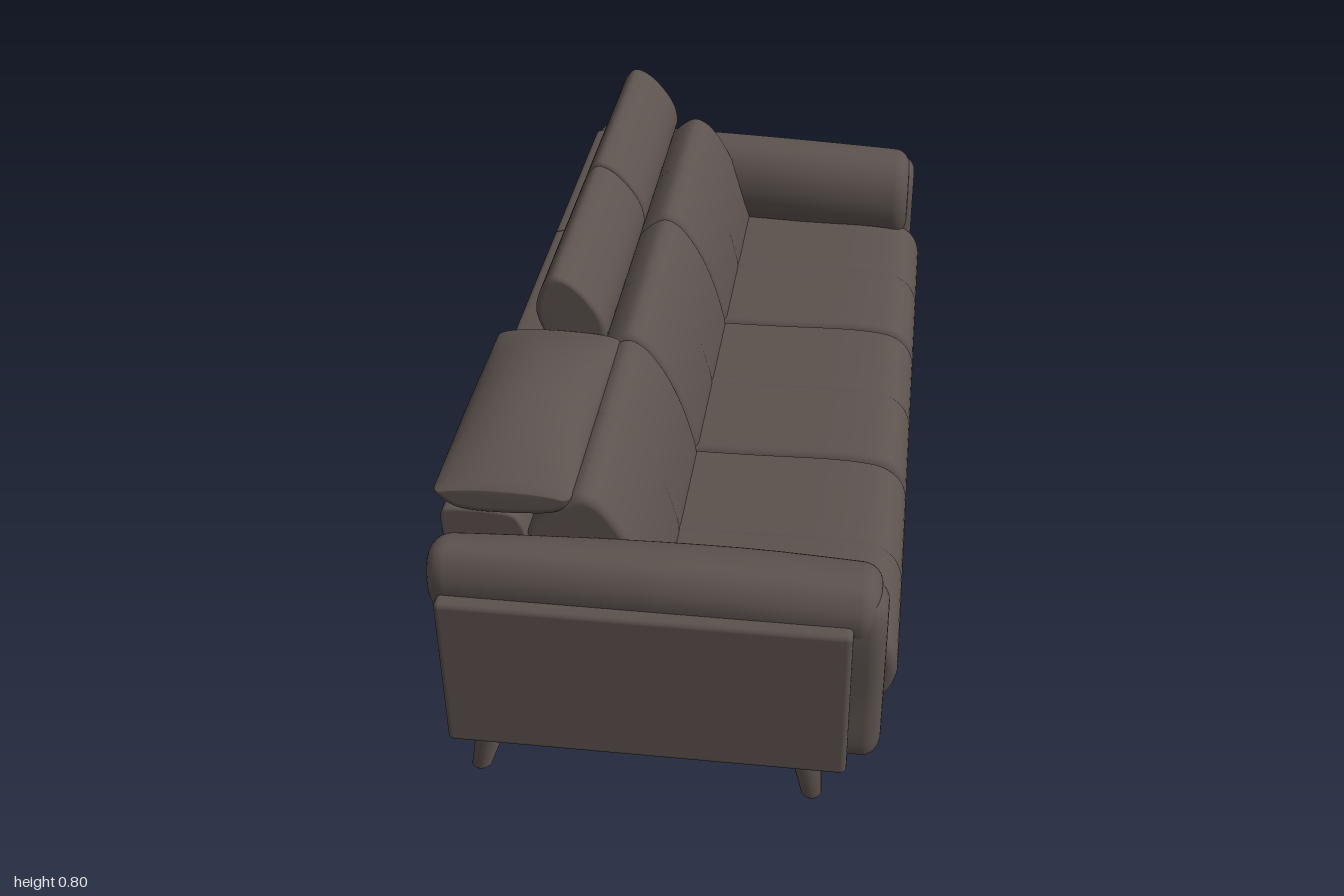
import * as THREE from 'three';
import { RoundedBoxGeometry } from 'three/addons/geometries/RoundedBoxGeometry.js';

const leather = new THREE.MeshStandardMaterial({ color: 0x5c524e });
leather.name = 'brown leather';

// Soft cushion: a smooth closed profile swept along x or z, with rounded ends,
// an optional stitched groove in the middle and an optional warp rule.
function cushion(profile, from, to, { axis = 'z', r = 0.03, groove = 0, warp } = {}) {
  const N = 64;
  const curve = new THREE.CatmullRomCurve3(profile.map(([a, b]) => new THREE.Vector3(a, b, 0)), true, 'centripetal');
  const ring = curve.getPoints(N).slice(0, N);
  const box = new THREE.Box3().setFromPoints(ring);
  const c = box.getCenter(new THREE.Vector3());
  const half = box.getSize(new THREE.Vector3()).multiplyScalar(0.5);

  // stations along the sweep: [position, inset]
  const stations = [];
  const steps = 6;
  for (let i = 0; i <= steps; i++) {
    const t = (i / steps) * Math.PI / 2;
    stations.push([from + r * (1 - Math.cos(t)), r * (1 - Math.sin(t))]);
  }
  const mid = (from + to) / 2;
  const span = (to - from) / 2 - r;
  for (const k of [-0.8, -0.6, -0.4, -0.2]) stations.push([mid + k * span, 0]);
  for (const [d, g] of [[-0.015, 0], [-0.005, 0.5], [0, 1], [0.005, 0.5], [0.015, 0]]) stations.push([mid + d, g * groove]);
  for (const k of [0.2, 0.4, 0.6, 0.8]) stations.push([mid + k * span, 0]);
  for (let i = steps; i >= 0; i--) {
    const t = (i / steps) * Math.PI / 2;
    stations.push([to - r * (1 - Math.cos(t)), r * (1 - Math.sin(t))]);
  }

  const pos = [];
  const index = [];
  const put = (a, b, l) => {
    const v = axis === 'z' ? new THREE.Vector3(a, b, l) : new THREE.Vector3(l, b, a);
    if (warp) warp(v);
    pos.push(v.x, v.y, v.z);
  };
  for (const [l, inset] of stations) {
    for (const p of ring) put(c.x + (p.x - c.x) * (1 - inset / half.x), c.y + (p.y - c.y) * (1 - inset / half.y), l);
  }
  const rows = stations.length;
  for (let s = 0; s < rows - 1; s++) {
    for (let i = 0; i < N; i++) {
      const a = s * N + i, b = s * N + (i + 1) % N;
      index.push(a, b, b + N, a, b + N, a + N);
    }
  }
  // end caps
  put(c.x, c.y, from);
  put(c.x, c.y, to);
  const last = (rows - 1) * N;
  for (let i = 0; i < N; i++) {
    const j = (i + 1) % N;
    index.push(rows * N, j, i, rows * N + 1, last + i, last + j);
  }
  // keep faces pointing outward for either winding
  let volume = 0;
  const A = new THREE.Vector3(), B = new THREE.Vector3(), C = new THREE.Vector3();
  for (let i = 0; i < index.length; i += 3) {
    A.fromArray(pos, index[i] * 3); B.fromArray(pos, index[i + 1] * 3); C.fromArray(pos, index[i + 2] * 3);
    volume += A.dot(B.cross(C));
  }
  if (volume < 0) index.reverse();
  const g = new THREE.BufferGeometry();
  g.setAttribute('position', new THREE.Float32BufferAttribute(pos, 3));
  g.setIndex(index);
  g.computeVertexNormals();
  return g;
}

export function createModel() {
  const sofa = new THREE.Group();
  sofa.name = 'sofa';
  const add = (name, geometry) => {
    const m = new THREE.Mesh(geometry, leather);
    m.name = name;
    sofa.add(m);
    return m;
  };
  const slab = (name, x0, x1, y0, y1, z0, z1, r) =>
    add(name, new RoundedBoxGeometry(x1 - x0, y1 - y0, z1 - z0, 3, r))
      .position.set((x0 + x1) / 2, (y0 + y1) / 2, (z0 + z1) / 2);

  slab('base', -0.435, 0.365, 0.135, 0.178, -0.99, 0.99, 0.01);

  // Three seats with their backs, from right to left
  const seat = [[-0.25, 0.17], [0.2, 0.17], [0.37, 0.175], [0.425, 0.2], [0.453, 0.265], [0.443, 0.33],
    [0.405, 0.368], [0.33, 0.382], [0.1, 0.38], [-0.1, 0.378], [-0.25, 0.375]];
  const back = [[-0.05, 0.3], [-0.022, 0.36], [-0.035, 0.44], [-0.068, 0.54], [-0.105, 0.61], [-0.14, 0.652],
    [-0.172, 0.665], [-0.205, 0.648], [-0.25, 0.6], [-0.29, 0.54], [-0.3, 0.3]];
  const frame = [[-0.434, 0.145], [-0.436, 0.15], [-0.45, 0.55], [-0.451, 0.59], [-0.445, 0.606], [-0.43, 0.611], [-0.32, 0.609],
    [-0.3, 0.6], [-0.285, 0.57], [-0.27, 0.5], [-0.27, 0.15], [-0.275, 0.145]];
  const raised = [[-0.332, 0.801], [-0.3, 0.79], [-0.26, 0.752], [-0.228, 0.7], [-0.222, 0.65], [-0.25, 0.6],
    [-0.31, 0.59], [-0.352, 0.64], [-0.376, 0.7], [-0.374, 0.735], [-0.352, 0.785]];
  const folded = [[-0.459, 0.655], [-0.44, 0.69], [-0.39, 0.722], [-0.33, 0.732], [-0.25, 0.718], [-0.205, 0.69],
    [-0.188, 0.66], [-0.21, 0.625], [-0.28, 0.612], [-0.41, 0.614], [-0.44, 0.63]];
  [[-0.85, -0.277], [-0.274, 0.274], [0.277, 0.85]].forEach(([z0, z1], i) => {
    add('seatCushion', cushion(seat, z0, z1, { r: 0.022, groove: 0.004 }));
    add('backCushion', cushion(back, z0, z1, { r: 0.022, groove: 0.003 }));
    add('backFrame', cushion(frame, z0, z1, { r: 0.006 }));
    if (i < 2) add('raisedHeadrest', cushion(raised, z0 + 0.006, z1, { r: 0.014 }));
  });
  // Folded headrest, crowned across its width
  add('foldedHeadrest', cushion(folded, 0.275, 0.86, {
    r: 0.02,
    warp: (v) => {
      const u = (v.z - 0.57) / 0.295;
      if (v.y > 0.655) v.y = 0.655 + (v.y - 0.655) * (1 - 0.8 * u * u);
    },
  }));

  // Arms, mirrored across z
  const pad = [[0.968, 0.165], [0.97, 0.3], [0.968, 0.49], [0.945, 0.53], [0.87, 0.53], [0.835, 0.49],
    [0.832, 0.3], [0.842, 0.165], [0.86, 0.155], [0.95, 0.155]];
  const roll = [[0.972, 0.5], [0.968, 0.545], [0.94, 0.58], [0.89, 0.588], [0.835, 0.572], [0.8, 0.53],
    [0.788, 0.47], [0.8, 0.41], [0.83, 0.37], [0.88, 0.38], [0.93, 0.43], [0.96, 0.465]];
  for (const s of [1, -1]) {
    const side = (p) => p.map(([z, y]) => [z * s, y]);
    slab('armPanel', -0.437, 0.365, 0.135, 0.497, s > 0 ? 0.962 : -1, s > 0 ? 1 : -0.962, 0.012);
    add('armPad', cushion(side(pad), -0.44, 0.428, { axis: 'x', r: 0.035 }));
    add('armRoll', cushion(side(roll), -0.459, 0.414, {
      axis: 'x',
      r: 0.04,
      warp: (v) => {
        // slopes down to the front and swells on the inner side
        const t = (v.x + 0.46) / 0.875;
        v.y -= 0.028 * t * t;
        const inner = THREE.MathUtils.clamp((0.97 - Math.abs(v.z)) / 0.18, 0, 1);
        const slim = 0.055 * Math.max(0, 1 - t / 0.75) ** 1.3;
        v.z += s * slim * inner;
      },
    }));
  }

  // Tapered legs, splayed by shearing: [top x, foot x, top z, foot z, foot y]
  const legs = [[0.27, 0.297, 0, 0, 0.05], [-0.345, -0.35, 0, 0, 0.05]];
  legs[0] = [0.275, 0.28, 0, 0, 0.05];
  for (const s of [1, -1]) {
    legs.push([0.275, 0.296, 0.912 * s, 0.926 * s, 0], [-0.357, -0.395, 0.912 * s, 0.926 * s, 0]);
  }
  for (const [tx, fx, tz, fz, y0] of legs) {
    const h = 0.145 - y0;
    const foot = 0.021 + y0 * 0.1;
    const g = new THREE.LatheGeometry([[0, 0], [foot - 0.004, 0], [foot, 0.005], [0.036, h], [0, h]]
      .map(([r, y]) => new THREE.Vector2(r, y)), 24);
    const p = g.attributes.position;
    for (let i = 0; i < p.count; i++) {
      const t = p.getY(i) / h;
      p.setXYZ(i, p.getX(i) + fx + (tx - fx) * t, p.getY(i) + y0, p.getZ(i) + fz + (tz - fz) * t);
    }
    add('leg', g);
  }
  return sofa;
}
